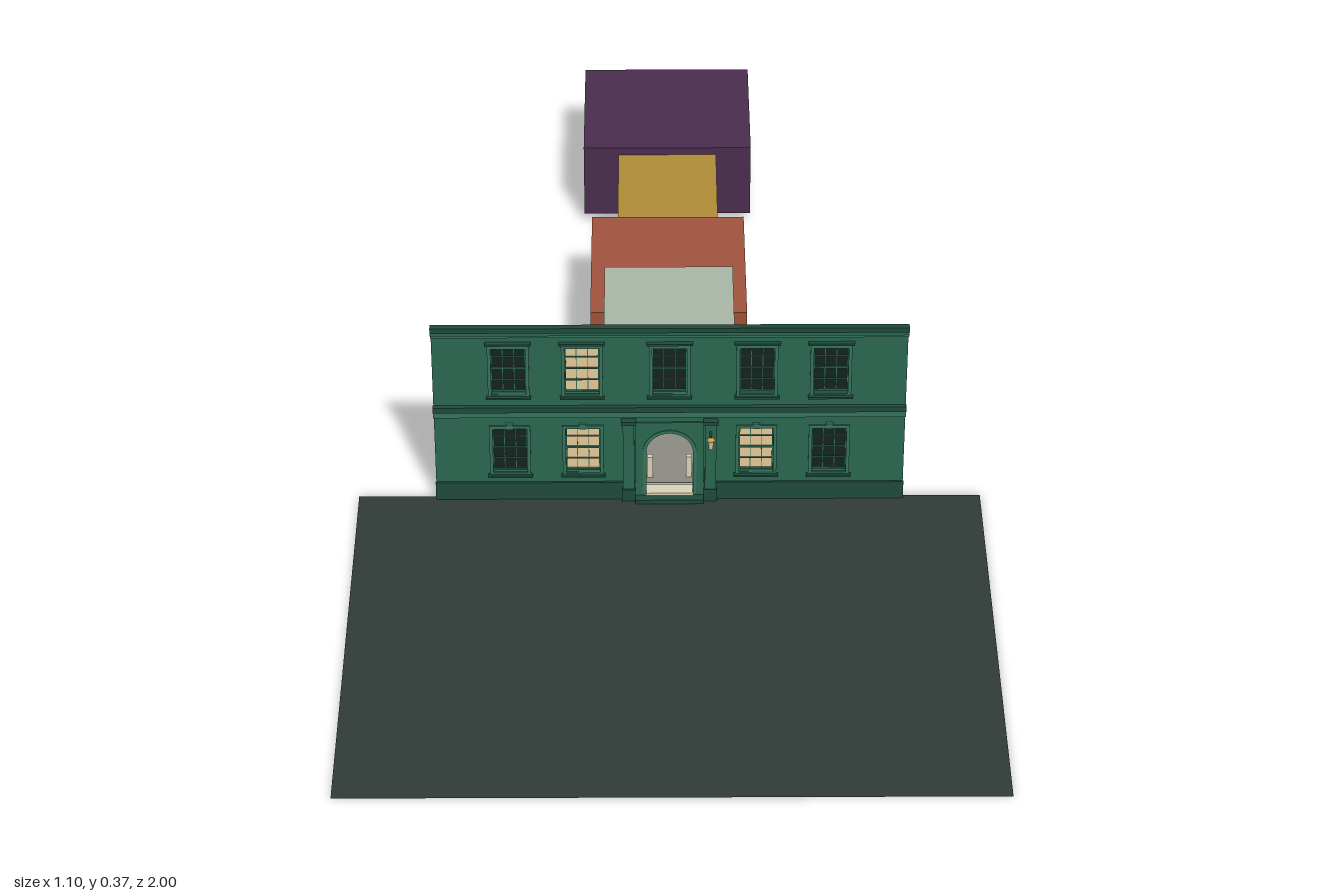
import * as THREE from 'three';

const WALL_Z = 0.193;
const C = {
  wall: 0x2a6650, dark: 0x1f4a3a, trim: 0x34755c, glass: 0x14231f, lit: 0xe3c998,
  bar: 0x2f6f57, ground: 0x303a36, stone: 0xd8d2b8, gold: 0xc9a04a,
};
const cache = {};
const mat = (c) => (cache[c] ??= new THREE.MeshStandardMaterial({ color: c, side: THREE.DoubleSide }));

function add(parent, name, geo, color, x = 0, y = 0, z = 0) {
  const m = new THREE.Mesh(geo, mat(color));
  m.name = name;
  m.position.set(x, y, z);
  parent.add(m);
  return m;
}

// Box given by its lower and upper limits
function block(parent, name, color, x0, x1, y0, y1, z0, z1) {
  return add(parent, name, new THREE.BoxGeometry(x1 - x0, y1 - y0, z1 - z0), color,
    (x0 + x1) / 2, (y0 + y1) / 2, (z0 + z1) / 2);
}

function rect(P, x0, x1, y0, y1) {
  const p = new P();
  p.moveTo(x0, y0); p.lineTo(x1, y0); p.lineTo(x1, y1); p.lineTo(x0, y1); p.closePath();
  return p;
}

// Round-headed opening of half width r
function arch(P, r, y0, top) {
  const p = new P();
  p.moveTo(-r, y0); p.lineTo(r, y0); p.lineTo(r, top - r);
  p.absarc(0, top - r, r, 0, Math.PI, false);
  p.lineTo(-r, y0);
  return p;
}

const extrude = (shape, depth) =>
  new THREE.ExtrudeGeometry(shape, { depth, bevelEnabled: false, curveSegments: 20 });

// Recessed sash window with surround, glazing bars and sill
function sashWindow(x, y0, y1, lit, upper) {
  const g = new THREE.Group();
  g.name = lit ? 'litWindow' : 'darkWindow';
  const w = 0.03, h = y1 - y0;
  const frame = (out, inn) => {
    const s = rect(THREE.Shape, -w - out, w + out, -out, h + out);
    s.holes.push(rect(THREE.Path, -w + inn, w - inn, inn, h - inn));
    return s;
  };
  add(g, 'reveal', extrude(frame(0.003, 0), 0.013), C.wall, 0, 0, -0.014);
  block(g, 'recessBack', C.wall, -w - 0.003, w + 0.003, -0.003, h + 0.003, -0.016, -0.014);
  block(g, 'glass', lit ? C.lit : C.glass, -w, w, 0, h, -0.013, -0.011);
  add(g, 'surround', extrude(frame(0.006, 0), 0.003), C.trim);
  add(g, 'sashFrame', extrude(frame(0, 0.002), 0.004), C.bar, 0, 0, -0.011);
  for (const k of [-1, 1])
    block(g, 'glazingBar', C.bar, k * 0.01 - 0.0006, k * 0.01 + 0.0006, 0, h, -0.011, -0.009);
  for (const k of [1, 2, 3]) {
    const t = k === 2 ? 0.0013 : 0.0006;
    block(g, 'glazingBar', C.bar, -w, w, h * k / 4 - t, h * k / 4 + t, -0.011, -0.008);
  }
  block(g, 'sill', C.dark, -w - 0.009, w + 0.009, -0.007, -0.003, 0, 0.008);
  if (upper) block(g, 'hood', C.dark, -w - 0.01, w + 0.01, h + 0.009, h + 0.013, 0, 0.008);
  else block(g, 'keystone', C.trim, -0.006, 0.006, h, h + 0.011, 0, 0.005);
  g.position.set(x, y0, WALL_Z);
  return g;
}

function buildFacade() {
  const g = new THREE.Group();
  g.name = 'facade';
  const shape = rect(THREE.Shape, -0.412, 0.412, 0, 0.37);
  const bays = [-0.28, -0.152, 0, 0.152, 0.28];
  for (const x of bays) {
    for (const [y0, y1, upper] of [[0.057, 0.152, false], [0.225, 0.322, true]]) {
      if (x === 0 && !upper) continue;
      shape.holes.push(rect(THREE.Path, x - 0.03, x + 0.03, y0, y1));
      const lit = x === -0.152 || (x === 0.152 && !upper);
      g.add(sashWindow(x, y0, y1, lit, upper));
    }
  }
  shape.holes.push(arch(THREE.Path, 0.041, 0.012, 0.143));
  add(g, 'frontWall', new THREE.ShapeGeometry(shape, 20), C.wall, 0, 0, WALL_Z);

  // Horizontal mouldings: colour, bottom, top, projection
  const W = 0.413;
  for (const [name, c, y0, y1, d] of [
    ['lowerCornice', C.trim, 0.346, 0.352, 0.004], ['cornice', C.wall, 0.352, 0.361, 0.007],
    ['upperCornice', C.dark, 0.361, 0.371, 0.012], ['stringCourse', C.dark, 0.19, 0.201, 0.008],
    ['stringBand', C.trim, 0.176, 0.19, 0.003]])
    block(g, name, c, -W, W, y0, y1, WALL_Z, WALL_Z + d);
  for (const s of [-1, 1])
    block(g, 'plinth', C.dark, Math.min(s * 0.06, s * W), Math.max(s * 0.06, s * W), 0, 0.036, WALL_Z, WALL_Z + 0.004);
  return g;
}

function buildEntrance() {
  const g = new THREE.Group();
  g.name = 'entrance';
  // Arched lining and raised surround
  const lining = arch(THREE.Shape, 0.045, 0.006, 0.147);
  lining.holes.push(arch(THREE.Path, 0.041, 0.012, 0.143));
  add(g, 'doorReveal', extrude(lining, 0.018), C.wall, 0, 0, 0.178);
  const panel = rect(THREE.Shape, -0.06, 0.06, 0.004, 0.165);
  panel.holes.push(arch(THREE.Path, 0.042, 0.011, 0.144));
  add(g, 'doorSurround', extrude(panel, 0.003), C.wall, 0, 0, WALL_Z);
  const ring = arch(THREE.Shape, 0.047, 0.012, 0.149);
  ring.holes.push(arch(THREE.Path, 0.041, 0.012, 0.143));
  add(g, 'archMoulding', extrude(ring, 0.005), C.trim, 0, 0, WALL_Z);
  for (const s of [-1, 1]) {
    const x = s * 0.072;
    block(g, 'pilaster', C.wall, x - 0.01, x + 0.01, 0, 0.165, WALL_Z, WALL_Z + 0.009);
    block(g, 'pilasterBase', C.dark, x - 0.012, x + 0.012, 0, 0.025, WALL_Z, WALL_Z + 0.011);
    block(g, 'pilasterCap', C.dark, x - 0.013, x + 0.013, 0.165, 0.172, WALL_Z, WALL_Z + 0.012);
    block(g, 'pedestal', C.stone, s * 0.0345 - 0.005, s * 0.0345 + 0.005, 0.02, 0.064, 0.15, 0.16);
  }
  block(g, 'doorstep', C.dark, -0.06, 0.06, 0, 0.008, 0.178, 0.212);
  block(g, 'threshold', C.stone, -0.041, 0.041, 0.008, 0.013, 0.172, 0.198);

  // Wall lantern on its bracket
  block(g, 'lanternBracket', C.dark, 0.07, 0.074, 0.147, 0.15, 0.2, 0.217);
  add(g, 'lantern', new THREE.CylinderGeometry(0.006, 0.004, 0.018, 6), C.lit, 0.072, 0.131, 0.214);
  add(g, 'lanternCap', new THREE.ConeGeometry(0.008, 0.008, 6), C.gold, 0.072, 0.144, 0.214);
  return g;
}

// Open shell room; arched openings in both end walls
function room(name, color, floorColor, w, top, zf, zb, backSill) {
  const g = new THREE.Group();
  g.name = name;
  const y0 = 0.02, h = top - y0, d = zf - zb, zm = (zf + zb) / 2;
  const endWall = (sill, r) => {
    const s = rect(THREE.Shape, -w, w, y0, top);
    s.holes.push(arch(THREE.Path, r, sill, 0.145));
    return new THREE.ShapeGeometry(s, 20);
  };
  add(g, 'frontWall', endWall(y0 + 0.001, 0.041), color, 0, 0, zf);
  add(g, 'backWall', endWall(backSill ?? y0 + 0.001, backSill ? 0.036 : 0.041), color, 0, 0, zb);
  for (const s of [-1, 1])
    add(g, 'sideWall', new THREE.PlaneGeometry(d, h), color, s * w, y0 + h / 2, zm).rotation.y = s * Math.PI / 2;
  add(g, 'ceiling', new THREE.PlaneGeometry(2 * w, d), color, 0, top, zm).rotation.x = -Math.PI / 2;
  add(g, 'floor', new THREE.PlaneGeometry(2 * w, d), floorColor, 0, y0, zm).rotation.x = -Math.PI / 2;
  return g;
}

export function createModel() {
  const model = new THREE.Group();
  model.name = 'townHouse';
  add(model, 'forecourt', new THREE.PlaneGeometry(1.1, 0.812), C.ground, 0, 0, 0.594).rotation.x = -Math.PI / 2;
  model.add(buildFacade(), buildEntrance());

  // Rooms in a row behind the entrance
  model.add(
    room('entranceHall', 0xa8b5a5, 0x8c8a82, 0.115, 0.28, 0.177, -0.124),
    room('secondRoom', 0xa0523d, 0x4a3322, 0.142, 0.18, -0.125, -0.444),
    room('thirdRoom', 0xb08c38, 0x3d2c1c, 0.094, 0.155, -0.445, -0.704),
    room('endRoom', 0x4a2d4f, 0x5e4252, 0.161, 0.17, -0.705, -0.999, 0.05));

  // Frame and bars of the arched end window
  const frame = arch(THREE.Shape, 0.036, 0.05, 0.145);
  frame.holes.push(arch(THREE.Path, 0.0335, 0.0525, 0.1425));
  add(model, 'endWindowFrame', extrude(frame, 0.004), 0x4a2d4f, 0, 0, -1);
  block(model, 'endWindowMullion', 0x4a2d4f, -0.0015, 0.0015, 0.05, 0.144, -1, -0.997);
  block(model, 'endWindowTransom', 0x4a2d4f, -0.036, 0.036, 0.085, 0.088, -1, -0.997);
  block(model, 'rug', 0x8a3a6a, -0.03, 0.03, 0.02, 0.022, -0.95, -0.75);
  return model;
}
